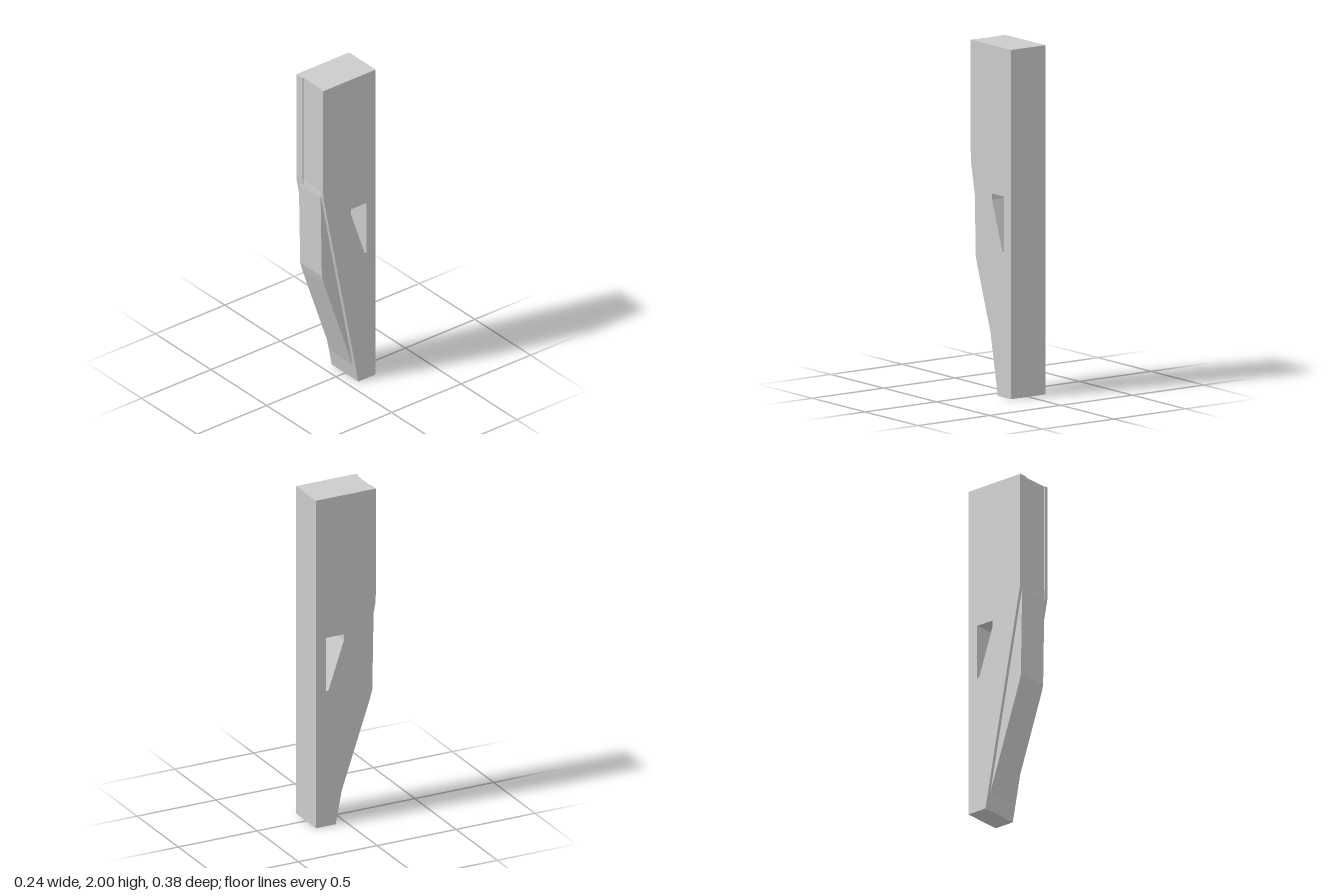
import * as THREE from 'three';

const material = new THREE.MeshStandardMaterial({ color: 0xcccccc, flatShading: true });
const toPoints = (list) => list.map(([z, y]) => new THREE.Vector2(z, y));

// Extrudes a side profile of [z, y] points across the width from x0 to x1
function slab(name, profile, x0, x1, hole) {
  const shape = new THREE.Shape(toPoints(profile));
  if (hole) shape.holes.push(new THREE.Path(toPoints(hole)));
  const geometry = new THREE.ExtrudeGeometry(shape, { depth: x1 - x0, bevelEnabled: false });
  geometry.rotateY(-Math.PI / 2);
  geometry.translate(x1, 0, 0);
  const mesh = new THREE.Mesh(geometry, material);
  mesh.name = name;
  return mesh;
}

export function createModel() {
  const model = new THREE.Group();
  model.name = 'taperedPost';

  // Main post with a sloping lower front and a wedge-shaped through slot
  const body = [[-0.19, 0], [-0.065, 0], [0.183, 1.28], [0.183, 2], [-0.19, 2]];
  const slot = [[-0.012, 1.15], [-0.012, 1.115], [-0.109, 0.83], [-0.125, 0.825], [-0.125, 1.15]];
  model.add(slab('body', body, -0.12, 0.12, slot));

  // Raised strips either side of the shallow front channel
  const rail = [[0.183, 1.28], [0.187, 1.3], [0.19, 1.36], [0.19, 2], [0.183, 2]];
  model.add(slab('rightRail', rail, -0.12, -0.063));
  model.add(slab('leftRail', rail, 0.095, 0.12));

  // Wedge panel standing out from the sloping front
  const wedge = [[-0.046, 0.1], [0.165, 0.72], [0.178, 0.77], [0.187, 1.29], [0.183, 1.33], [0.17, 1.28]];
  model.add(slab('frontWedge', wedge, -0.1, 0.095));

  return model;
}
